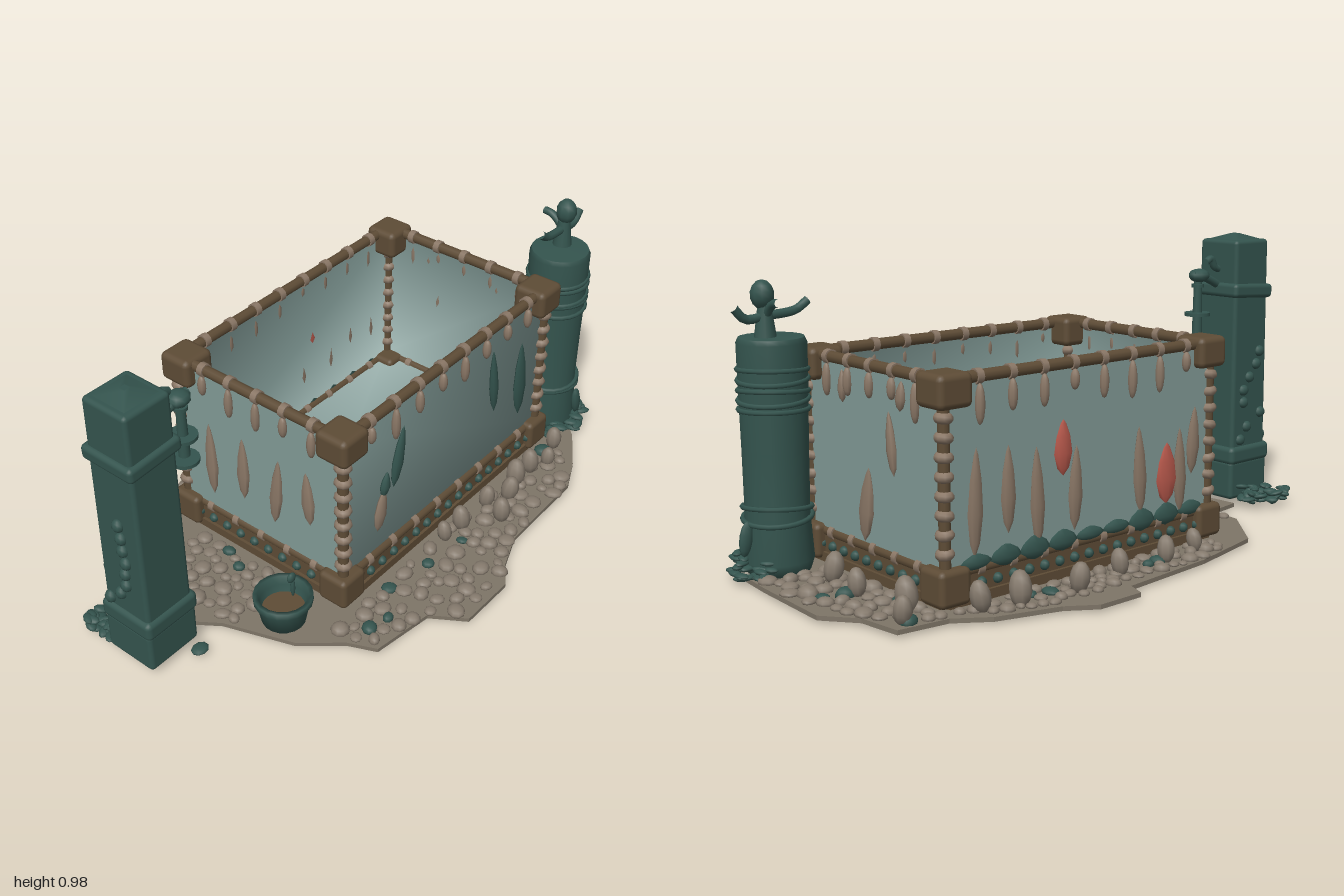
import * as THREE from 'three';
import { mergeGeometries, mergeVertices } from 'three/addons/utils/BufferGeometryUtils.js';
import { RoundedBoxGeometry } from 'three/addons/geometries/RoundedBoxGeometry.js';

const material = (name, color, double) => {
  const m = new THREE.MeshStandardMaterial({ color });
  m.name = name;
  if (double) m.side = THREE.DoubleSide;
  return m;
};

export function createModel() {
  const model = new THREE.Group();
  const teal = material('dark teal', 0x34544e), glass = material('pale glass', 0x829b97, true);
  const wood = material('brown wood', 0x5e4c36), tan = material('tan shell', 0x8a7766);
  const stone = material('pebble grey', 0x857a6d), earth = material('earth', 0x7e7567);
  const red = material('coral red', 0xb8594c);

  let seed = 7;
  const rnd = (a, b) => {
    seed = (seed * 16807) % 2147483647;
    return a + (b - a) * (seed / 2147483647);
  };
  const add = (name, geo, mat, p = [0, 0, 0], r = [0, 0, 0], s = [1, 1, 1]) => {
    const m = new THREE.Mesh(geo, mat);
    m.name = name;
    m.position.set(...p); m.rotation.set(...r); m.scale.set(...s);
    model.add(m);
    return m;
  };
  const ball = (p, s, r = [0, 0, 0]) => new THREE.SphereGeometry(1, 9, 7).scale(...s)
    .rotateX(r[0]).rotateY(r[1]).rotateZ(r[2]).translate(...p);
  const cyl = (rt, rb, h, n = 12) => new THREE.CylinderGeometry(rt, rb, h, n);
  const tube = (pts, r) => new THREE.TubeGeometry(
    new THREE.CatmullRomCurve3(pts.map(p => new THREE.Vector3(...p))), 14, r, 8);

  // Ragged ground slab
  const outline = [[-0.78, -0.18], [-0.64, -0.2], [-0.63, -0.32], [-0.48, -0.5], [-0.2, -0.56], [0.15, -0.59],
    [0.17, -0.65], [0.33, -0.65], [0.42, -0.59], [0.62, -0.53], [0.72, -0.46], [0.88, -0.44], [0.9, -0.3],
    [0.98, -0.2], [0.97, 0.1], [0.96, 0.22], [0.8, 0.38], [0.66, 0.47], [0.55, 0.52], [0.2, 0.53], [0.07, 0.58],
    [0, 0.63], [-0.2, 0.63], [-0.27, 0.52], [-0.48, 0.49], [-0.52, 0.4], [-0.62, 0.28], [-0.7, 0.05], [-0.77, -0.05]];
  const shape = new THREE.Shape(outline.map(([x, z]) => new THREE.Vector2(x, -z)));
  add('ground', new THREE.ExtrudeGeometry(shape, { depth: 0.014, bevelEnabled: false }).rotateX(-Math.PI / 2),
    earth, [0, 0.008, 0]);
  add('tankUnderside', new THREE.BoxGeometry(0.98, 0.008, 0.62), wood, [0.145, 0.006, -0.055]);

  // Pebbles scattered in zones around the tank: x range, z range, count, size
  const inside = (x, z) => outline.reduce((hit, [ax, az], i) => {
    const [bx, bz] = outline[(i + 1) % outline.length];
    return (az > z) !== (bz > z) && x < ax + (z - az) / (bz - az) * (bx - ax) ? !hit : hit;
  }, false);
  const placed = [], pebbles = [], mossy = [];
  for (const [x0, x1, z0, z1, n, size] of [[-0.5, 0.7, 0.34, 0.62, 150, 0.036], [0.73, 0.96, -0.45, 0.14, 80, 0.038],
    [-0.35, 0.72, -0.56, -0.43, 70, 0.03], [-0.68, -0.45, -0.28, 0.08, 45, 0.036], [-0.1, 0.2, -0.55, -0.44, 45, 0.024]]) {
    for (let tries = 0, k = 0; tries < 1500 && k < n; tries++) {
      const x = rnd(x0, x1), z = rnd(z0, z1), r = rnd(0.55, 1) * size;
      if (!inside(x * 1.03, z * 1.03) || placed.some(q => Math.hypot(q[0] - x, q[1] - z) < (q[2] + r) * 0.82)) continue;
      placed.push([x, z, r]);
      (k++ % 12 === 5 ? mossy : pebbles).push(ball([x, 0.026, z], [r, r * rnd(0.4, 0.75), r * rnd(0.75, 1)], [0, rnd(0, 3), 0]));
    }
  }
  // Upright egg stones
  for (const [x, z, h] of [[0.05, 0.35, 0.04], [0.13, 0.36, 0.05], [0.28, 0.36, 0.045], [0.36, 0.4, 0.05],
    [0.44, 0.37, 0.055], [0.53, 0.37, 0.05], [0.6, 0.4, 0.04], [0.25, 0.44, 0.05], [0.7, 0.36, 0.045],
    [0.78, 0.02, 0.05], [0.8, -0.13, 0.045], [0.77, -0.33, 0.055], [0.84, -0.41, 0.045], [0.5, -0.5, 0.055],
    [0.3, -0.53, 0.05], [0.62, -0.47, 0.05], [0.1, -0.49, 0.045], [-0.1, -0.49, 0.045], [-0.25, -0.47, 0.04]])
    pebbles.push(ball([x, 0.02 + h * 0.9, z], [h * 0.62, h, h * 0.62], [rnd(-0.2, 0.2), 0, rnd(-0.2, 0.2)]));
  add('pebbles', mergeGeometries(pebbles), stone);
  add('mossyPebbles', mergeGeometries(mossy), teal);

  // Tank: open glass shell with shared smooth normals, plus flat side and back panes
  const X0 = -0.39, X1 = 0.68, Z0 = -0.39, Z1 = 0.28, CX = 0.145, CZ = -0.055, W = X1 - X0, D = Z1 - Z0;
  const Y0 = 0.12, Y1 = 0.655;
  const shell = new THREE.BufferGeometry();
  shell.setAttribute('position', new THREE.Float32BufferAttribute([
    X0, Y0, Z0, X1, Y0, Z0, X1, Y0, Z1, X0, Y0, Z1, X0, Y1, Z0, X1, Y1, Z0, X1, Y1, Z1, X0, Y1, Z1, 0, Y0, -0.07], 3));
  shell.setIndex([8, 1, 0, 8, 2, 1, 8, 3, 2, 8, 0, 3, 0, 1, 5, 0, 5, 4, 2, 3, 7, 2, 7, 6, 1, 2, 6, 1, 6, 5, 3, 0, 4, 3, 4, 7]);
  shell.computeVertexNormals();
  add('glassShell', shell, glass);
  add('backPane', new THREE.BoxGeometry(W, Y1 - Y0, 0.006), glass, [CX, (Y0 + Y1) / 2, Z0 - 0.004]);
  for (const [name, x] of [['rightPane', X0 - 0.004], ['leftPane', X1 + 0.004]])
    add(name, new THREE.BoxGeometry(0.006, Y1 - Y0, D), glass, [x, (Y0 + Y1) / 2, CZ]);

  // Wooden frame: rails, binding rings, hanging teeth, plinth studs
  const wooden = [], rings = [], teeth = [], studs = [];
  const rail = (alongX, fixed, y, r) => {
    const len = alongX ? W : D, geo = cyl(r, r, len, 10);
    const place = (g, t) => alongX ? g.rotateZ(Math.PI / 2).translate(CX + t, y, fixed) : g.rotateX(Math.PI / 2).translate(fixed, y, CZ + t);
    wooden.push(place(geo, 0));
    const n = Math.round(len / 0.12);
    for (let i = 1; i < n; i++) rings.push(place(cyl(r + 0.005, r + 0.005, 0.022, 10), (i / n - 0.5) * len));
  };
  for (const [alongX, fixed, sign] of [[true, Z0, -1], [true, Z1, 1], [false, X0, -1], [false, X1, 1]]) {
    rail(alongX, fixed, 0.667, 0.018);
    rail(alongX, fixed, 0.118, 0.016);
    const len = alongX ? W : D, out = fixed + sign * 0.012;
    const at = (t, y, o = out) => alongX ? [CX + t, y, o] : [o, y, CZ + t];
    const slab = (h, th) => alongX ? new THREE.BoxGeometry(len, h, th) : new THREE.BoxGeometry(th, h, len);
    wooden.push(slab(0.1, 0.02).translate(...at(0, 0.065, fixed)), slab(0.03, 0.04).translate(...at(0, 0.038, fixed)));
    const n = Math.round(len / 0.12), m = Math.round(len / 0.06);
    for (let i = 1; i < n; i++) {
      const l = rnd(0.03, 0.06);
      teeth.push(ball(at((i / n - 0.5) * len, 0.65 - l), [0.015, l, 0.015]));
    }
    for (let i = 1; i < m; i++) studs.push(ball(at((i / m - 0.5) * len, 0.078), [0.016, 0.016, 0.016]));
  }
  for (const x of [X0, X1]) for (const z of [Z0, Z1]) {
    wooden.push(cyl(0.018, 0.018, 0.56, 10).translate(x, 0.38, z));
    for (let y = 0.18; y < 0.57; y += 0.055) rings.push(ball([x, y, z], [0.029, 0.02, 0.029], [0, 0, rnd(-0.3, 0.3)]));
    const ix = x + (x < 0 ? 0.018 : -0.018), iz = z + (z < 0 ? 0.018 : -0.018);
    add('topCornerCap', new RoundedBoxGeometry(0.12, 0.1, 0.12, 2, 0.02), wood, [ix, 0.64, iz]);
    add('bottomCornerCap', new RoundedBoxGeometry(0.11, 0.11, 0.11, 2, 0.018), wood, [ix - Math.sign(x) * -0.004, 0.085, iz]);
  }
  add('frameRails', mergeGeometries(wooden.map(g => g.toNonIndexed())), wood);
  add('frameBindings', mergeGeometries(rings), tan);
  add('hangingTeeth', mergeGeometries(teeth), tan);
  add('plinthStuds', mergeGeometries(studs), teal);

  // Shards and leaves stuck on the panes: side, position along it, y, half width, half height, tilt
  const shard = (name, mat, side, t, y, w, h, tilt = 0) => {
    const pos = { front: [t, y, Z1 + 0.008], back: [t, y, Z0 - 0.012], plusX: [X1 + 0.012, y, t], minusX: [X0 - 0.012, y, t] }[side];
    const sideways = side === 'plusX' || side === 'minusX';
    const geo = new THREE.LatheGeometry([[0.001, -1], [0.65, -0.72], [1, -0.2], [0.75, 0.4], [0.3, 0.85], [0.001, 1]]
      .map(p => new THREE.Vector2(...p)), 8).scale(w, h, 0.014).rotateZ(tilt);
    add(name, geo, mat, pos, [0, sideways ? Math.PI / 2 : 0, 0]);
  };
  for (const [t, y, w, h, a] of [[-0.13, 0.45, 0.024, 0.11, -0.22], [0.385, 0.45, 0.02, 0.13, 0.1],
    [0.55, 0.37, 0.034, 0.15, 0.03], [-0.195, 0.38, 0.02, 0.045, -0.2]]) shard('paneLeaf', teal, 'front', t, y, w, h, a);
  shard('paneShard', tan, 'front', -0.215, 0.29, 0.027, 0.08, -0.2);
  for (const [t, y, h] of [[0.58, 0.31, 0.16], [0.46, 0.33, 0.13], [0.35, 0.29, 0.15], [0.2, 0.29, 0.13],
    [-0.07, 0.3, 0.14], [-0.25, 0.27, 0.14], [-0.31, 0.36, 0.11]]) shard('paneShard', tan, 'back', t, y, 0.028, h, rnd(-0.08, 0.08));
  shard('coral', red, 'back', 0.25, 0.42, 0.036, 0.085);
  shard('coral', red, 'back', -0.19, 0.27, 0.046, 0.1);
  for (const [t, y, w, h, a] of [[-0.16, 0.455, 0.02, 0.095, 0.12], [-0.03, 0.25, 0.036, 0.115, -0.12],
    [0.085, 0.59, 0.016, 0.05, 0], [-0.21, 0.6, 0.02, 0.045, -0.1]]) shard('paneShard', tan, 'plusX', t, y, w, h, a);
  for (const [t, y, h] of [[-0.26, 0.33, 0.14], [-0.12, 0.36, 0.12], [0.02, 0.34, 0.13], [0.15, 0.38, 0.1]])
    shard('paneShard', tan, 'minusX', t, y, 0.026, h, rnd(-0.1, 0.1));
  for (let i = 0; i < 9; i++) shard('algae', teal, 'back', -0.3 + i * 0.11, 0.14, 0.06, rnd(0.02, 0.04));

  // Square pillar with collars
  const PX = -0.885, PZ = -0.06;
  const block = new RoundedBoxGeometry(0.17, 0.93, 0.17, 2, 0.014);
  const bp = block.attributes.position;
  for (let i = 0; i < bp.count; i++) {
    const k = 1.03 - bp.getY(i) * 0.06;
    bp.setXYZ(i, bp.getX(i) * k, bp.getY(i), bp.getZ(i) * k);
  }
  add('squarePillar', block, teal, [PX, 0.49, PZ]);
  add('pillarPeak', cyl(0.015, 0.11, 0.025, 4).toNonIndexed(), teal, [PX, 0.962, PZ], [0, Math.PI / 4, 0]);
  add('upperCollar', new RoundedBoxGeometry(0.2, 0.05, 0.2, 2, 0.015), teal, [PX, 0.775, PZ], [0, 0, 0.06]);
  add('lowerCollar', new RoundedBoxGeometry(0.205, 0.065, 0.205, 2, 0.018), teal, [PX, 0.185, PZ]);
  add('pillarFoot', new RoundedBoxGeometry(0.195, 0.14, 0.19, 2, 0.015), teal, [PX, 0.095, PZ]);

  // Bracket arm with a hanging lamp
  add('arm', tube([[-0.81, 0.79, PZ], [-0.77, 0.81, PZ], [-0.72, 0.83, PZ], [-0.665, 0.84, PZ]], 0.015), teal);
  add('armHook', tube([[-0.81, 0.85, PZ], [-0.78, 0.86, PZ], [-0.76, 0.89, PZ], [-0.735, 0.88, PZ]], 0.013), teal);
  add('armKnob', ball([-0.7, 0.835, PZ], [0.04, 0.024, 0.036]), teal);
  add('lampStem', cyl(0.014, 0.018, 0.2), teal, [-0.695, 0.73, PZ]);
  for (const [y, r] of [[0.7, 0.045], [0.615, 0.045], [0.8, 0.022]]) add('lampDisc', cyl(r, r, 0.012, 16), teal, [-0.695, y, PZ]);

  // Round pillar with wrapped bands and finial tap
  const CX2 = 0.84, CZ2 = 0.23;
  add('roundPillar', new THREE.LatheGeometry([[0, 0.02], [0.095, 0.02], [0.108, 0.06], [0.098, 0.2], [0.1, 0.4], [0.104, 0.6],
    [0.105, 0.72], [0.098, 0.735], [0.098, 0.736], [0, 0.74]].map(p => new THREE.Vector2(...p)), 20), teal, [CX2, 0, CZ2]);
  for (const [y, a] of [[0.64, 0.05], [0.61, -0.04], [0.575, 0.08], [0.55, -0.05], [0.52, 0.03], [0.22, 0.1], [0.19, -0.06]])
    add('band', new THREE.TorusGeometry(0.104, 0.008, 6, 24), teal, [CX2, y, CZ2], [Math.PI / 2 + a, a, 0]);
  add('tapStem', cyl(0.02, 0.034, 0.1), teal, [0.865, 0.78, 0.22]);
  add('tapHead', ball([0.87, 0.863, 0.222], [0.036, 0.044, 0.036]), teal);
  add('tapArms', tube([[0.72, 0.835, 0.22], [0.76, 0.81, 0.22], [0.86, 0.8, 0.22], [0.93, 0.795, 0.22], [0.965, 0.83, 0.22]], 0.014), teal);
  add('tapSpout', tube([[0.865, 0.79, 0.22], [0.865, 0.825, 0.19], [0.865, 0.84, 0.165], [0.865, 0.843, 0.14]], 0.013), teal);

  // Bucket with a sprout
  add('bucket', new THREE.LatheGeometry([[0, 0.02], [0.07, 0.02], [0.084, 0.09], [0.094, 0.1], [0.094, 0.122], [0.08, 0.122],
    [0.076, 0.09], [0.066, 0.06]].map(p => new THREE.Vector2(...p)), 18), teal, [-0.56, 0, 0.18]);
  add('bucketSoil', cyl(0.07, 0.066, 0.01, 16), wood, [-0.56, 0.062, 0.18]);
  add('sprout', mergeGeometries([ball([-0.515, 0.12, 0.18], [0.008, 0.04, 0.008]), ball([-0.52, 0.16, 0.18], [0.018, 0.018, 0.01])]), teal);

  // Leaf clumps at both pillar feet and growing up the square pillar
  const leaves = [];
  for (let i = 0; i < 40; i++)
    leaves.push(ball([rnd(-0.975, -0.8), rnd(0.02, 0.07), rnd(-0.27, -0.16)], [0.026, 0.009, 0.016], [rnd(-0.5, 0.5), rnd(0, 3), rnd(-0.4, 0.4)]));
  for (let i = 0; i < 55; i++) {
    const a = rnd(-0.9, 2.5), r = rnd(0.09, 0.145);
    leaves.push(ball([CX2 + Math.cos(a) * r, rnd(0.02, 0.075), CZ2 + Math.sin(a) * r], [0.028, 0.009, 0.016], [0, rnd(0, 3), 0]));
  }
  for (let y = 0.24; y < 0.56; y += 0.045)
    leaves.push(ball([-0.975, y, rnd(-0.13, 0)], [0.018, 0.022, 0.02]), ball([rnd(-0.96, -0.82), y, -0.148], [0.022, 0.02, 0.016]));
  for (const [x, z] of [[0.955, 0.22], [0.85, 0.35]]) leaves.push(ball([x, 0.14, z], [0.022, 0.055, 0.014], [0, 0, 0.15]));
  leaves.push(ball([-0.82, 0.02, 0.07], [0.03, 0.01, 0.025]));
  add('leafClumps', mergeVertices(mergeGeometries(leaves)), teal);

  return model;
}
